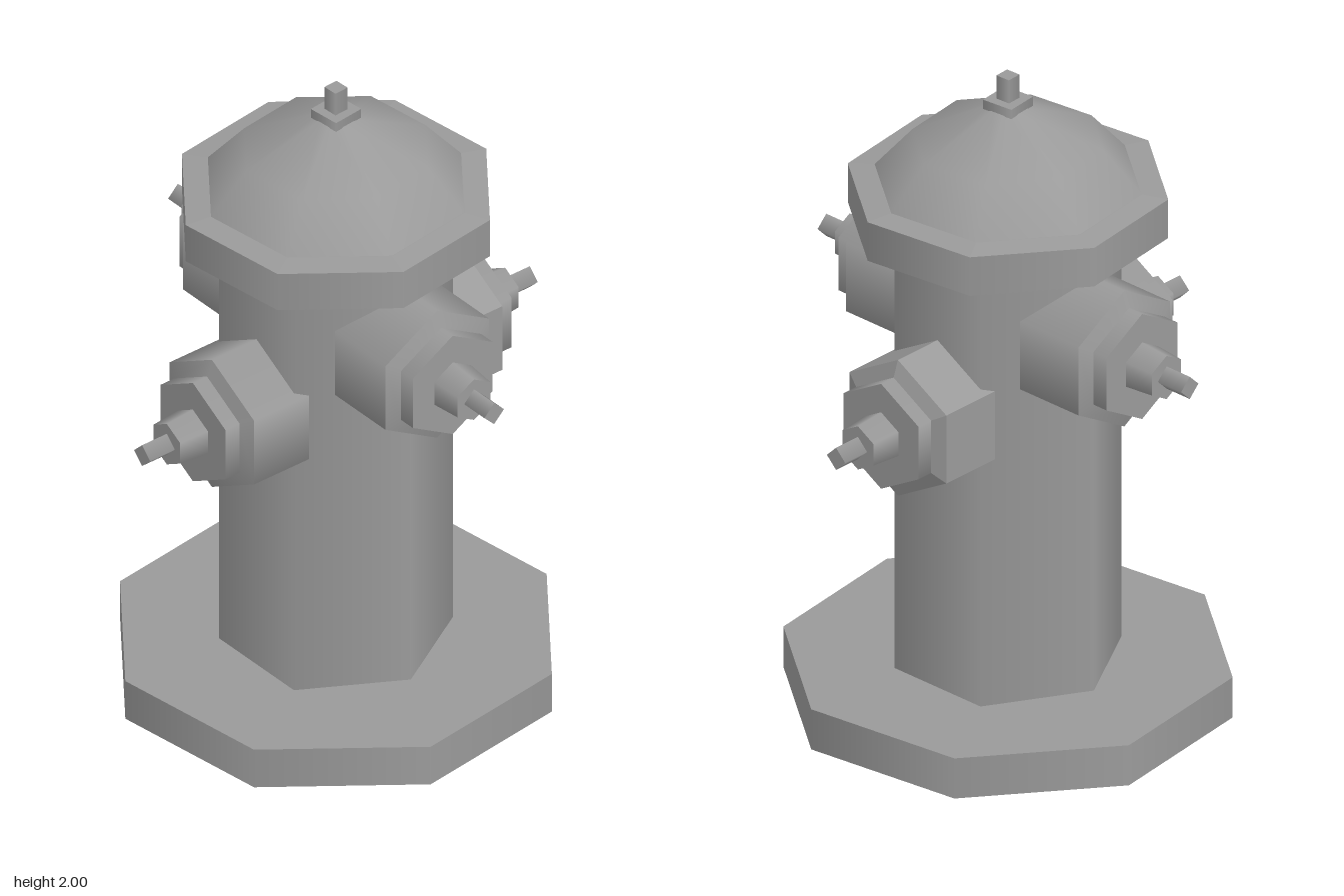
import * as THREE from 'three';

const DEG = Math.PI / 180;
const smooth = new THREE.MeshStandardMaterial({ color: 0x9a9a9a });
const faceted = new THREE.MeshStandardMaterial({ color: 0x9a9a9a, flatShading: true });

// Upright prism from y0 to y1, with its first corner turned by `turn` degrees
function prism(name, rBottom, rTop, y0, y1, sides, turn, material = smooth) {
  const g = new THREE.CylinderGeometry(rTop, rBottom, y1 - y0, sides, 1, false, turn * DEG, Math.PI * 2);
  g.translate(0, (y0 + y1) / 2, 0);
  const mesh = new THREE.Mesh(g, material);
  mesh.name = name;
  return mesh;
}

// Outlet built along y, then laid outwards towards +z and swung round the body
function createOutlet(name, height, angle, barrelMaterial) {
  const lying = new THREE.Group();
  lying.rotation.x = Math.PI / 2;
  lying.add(
    prism('outletBarrel', 0.22, 0.22, 0.1, 0.457, 6, 0, barrelMaterial),
    prism('outletBevel', 0.22, 0.17, 0.457, 0.475, 6, 0, barrelMaterial),
    prism('outletCap', 0.17, 0.17, 0.475, 0.527, 6, 0),
    prism('outletNut', 0.078, 0.07, 0.527, 0.623, 6, 0),
    prism('outletStem', 0.036, 0.036, 0.623, 0.714, 4, 0)
  );
  const outlet = new THREE.Group();
  outlet.name = name;
  outlet.add(lying);
  outlet.position.y = height;
  outlet.rotation.y = angle * DEG;
  return outlet;
}

export function createModel() {
  const model = new THREE.Group();
  model.name = 'hydrant';

  // Base plate and body
  model.add(prism('basePlate', 0.659, 0.659, 0, 0.13, 8, 30));
  model.add(prism('body', 0.338, 0.338, 0.13, 1.51, 6, 30));

  // Collar under the dome, with a nearly flat ledge on top
  model.add(
    prism('collarUnderside', 0.35, 0.47, 1.495, 1.53, 8, 30),
    prism('collar', 0.47, 0.47, 1.53, 1.655, 8, 30),
    prism('collarLedge', 0.47, 0.393, 1.655, 1.662, 8, 30, faceted)
  );

  // Domed bonnet
  const profile = [[0.393, 1.66], [0.28, 1.79], [0.05, 1.9], [0, 1.905]]
    .map(([r, y]) => new THREE.Vector2(r, y));
  const bonnet = new THREE.Mesh(new THREE.LatheGeometry(profile, 8, 30 * DEG), smooth);
  bonnet.name = 'bonnet';
  model.add(bonnet);

  // Square nut and stem on top
  model.add(
    prism('topNut', 0.072, 0.072, 1.895, 1.925, 4, 51),
    prism('topStem', 0.033, 0.033, 1.925, 2, 4, 48)
  );

  // Low outlets front and back, high outlets at the sides
  model.add(
    createOutlet('frontOutlet', 1.035, 0, smooth),
    createOutlet('backOutlet', 1.035, 180, faceted),
    createOutlet('leftOutlet', 1.25, 90, smooth),
    createOutlet('rightOutlet', 1.25, -90, smooth)
  );
  return model;
}
